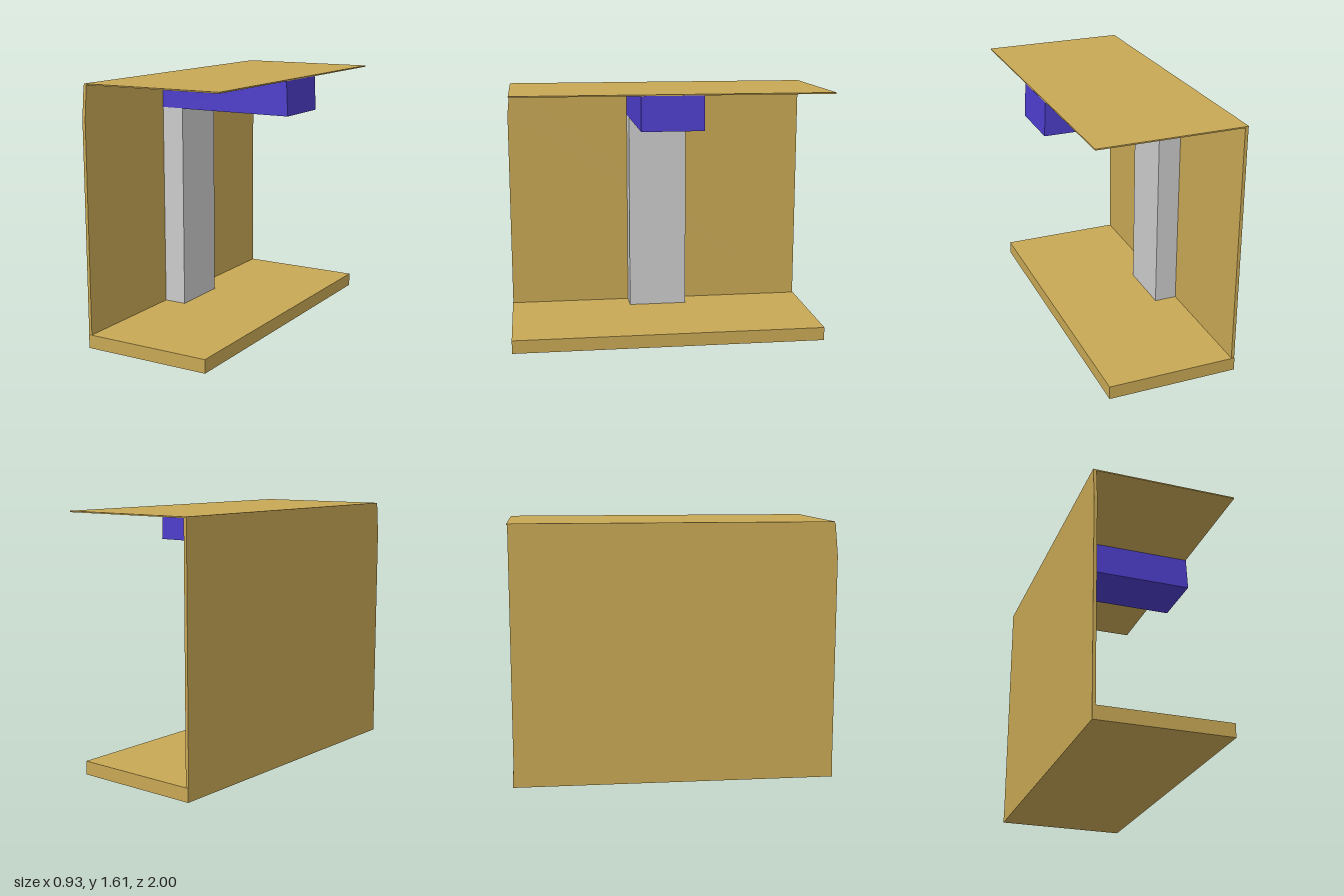
import * as THREE from 'three';

const wood = new THREE.MeshStandardMaterial({ color: 0xc8a855, flatShading: true });
const blue = new THREE.MeshStandardMaterial({ color: 0x4d3dcb, flatShading: true });
const grey = new THREE.MeshStandardMaterial({ color: 0xcccccc, flatShading: true });

// Box given by its minimum and maximum corners
function block(name, material, [x0, y0, z0], [x1, y1, z1]) {
  const geometry = new THREE.BoxGeometry(x1 - x0, y1 - y0, z1 - z0);
  geometry.translate((x0 + x1) / 2, (y0 + y1) / 2, (z0 + z1) / 2);
  const mesh = new THREE.Mesh(geometry, material);
  mesh.name = name;
  return mesh;
}

// Straight extrusion of an outline
function prism(name, material, outline, depth) {
  const shape = new THREE.Shape(outline.map(([x, y]) => new THREE.Vector2(x, y)));
  const mesh = new THREE.Mesh(new THREE.ExtrudeGeometry(shape, { depth, bevelEnabled: false }), material);
  mesh.name = name;
  return mesh;
}

export function createModel() {
  const group = new THREE.Group();
  group.name = 'shelter';

  // Floor slab and thin roof sheet
  group.add(block('floor', wood, [-0.465, 0, -1], [0.365, 0.085, 1]));
  group.add(block('roof', wood, [-0.465, 1.6, -1], [0.45, 1.608, 0.975]));

  // Back wall, its front edge leaning in near the top
  const wall = prism('wall', wood, [[-0.995, 0.085], [0.998, 0.085], [0.998, 1.4], [0.978, 1.6], [-0.995, 1.6]], 0.02);
  wall.geometry.rotateY(-Math.PI / 2).translate(-0.445, 0, 0);
  group.add(wall);

  // Post against the wall
  group.add(block('post', grey, [-0.445, 0.085, -0.19], [-0.297, 1.39, 0.195]));

  // Roof beam with a slightly slanted end
  const beam = prism('beam', blue, [[-0.445, 1.388], [0.461, 1.388], [0.451, 1.6], [-0.445, 1.6]], 0.385);
  beam.geometry.translate(0, 0, -0.19);
  group.add(beam);

  return group;
}
